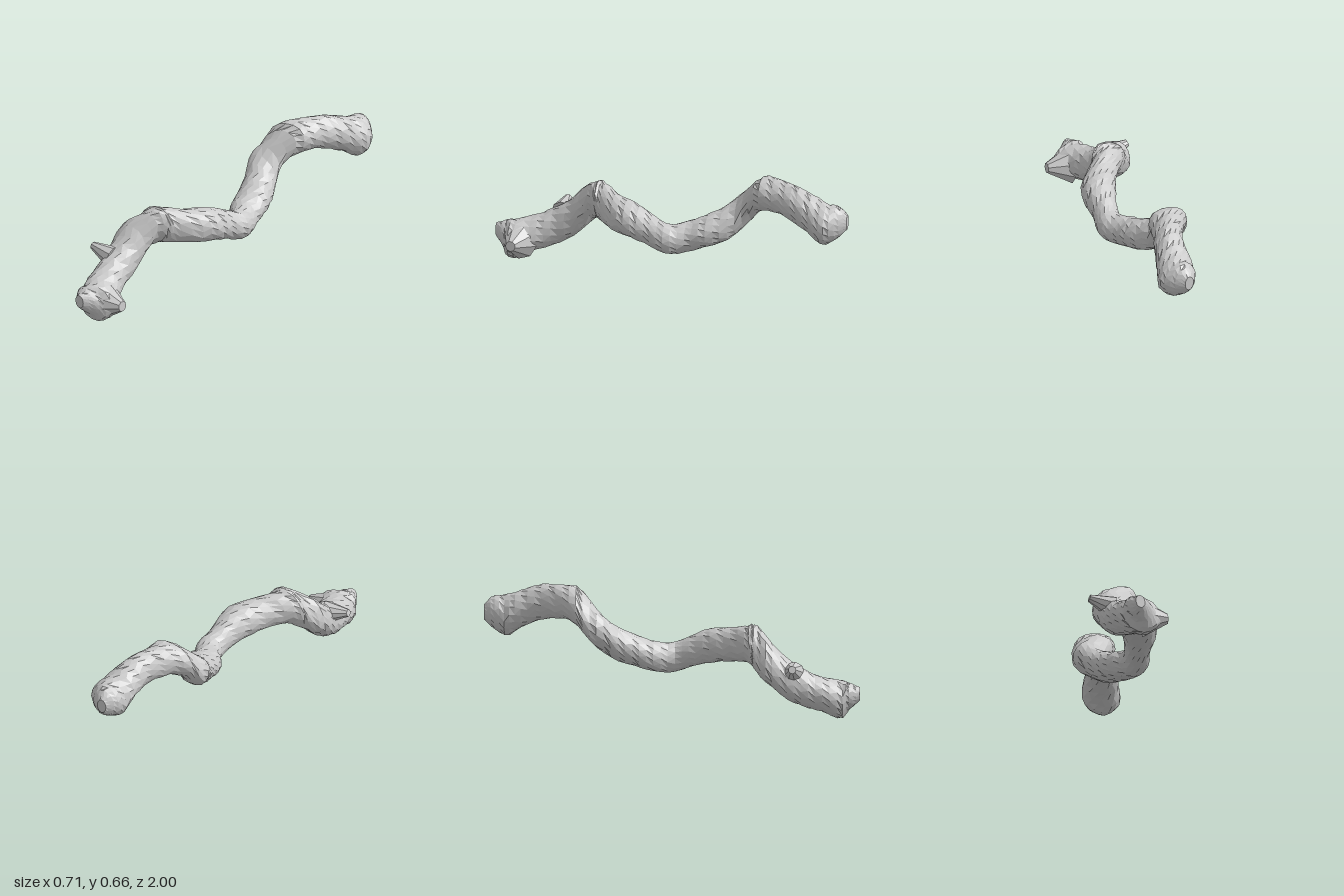
import * as THREE from 'three';

// Slices along the body: z, x min, x max, y min, y max
const SLICES = [
  [1.0, -0.22, -0.17, 0.1, 0.17],
  [0.95, -0.245, -0.11, 0.055, 0.19],
  [0.9, -0.265, -0.045, 0.0, 0.205],
  [0.8, -0.285, -0.085, 0.04, 0.225],
  [0.7, -0.29, -0.115, 0.07, 0.27],
  [0.6, -0.295, -0.11, 0.12, 0.335],
  [0.5, -0.29, -0.075, 0.205, 0.44],
  [0.44, -0.23, -0.02, 0.265, 0.485],
  [0.4, -0.19, 0.015, 0.285, 0.48],
  [0.3, -0.09, 0.13, 0.275, 0.455],
  [0.2, -0.025, 0.17, 0.26, 0.445],
  [0.1, 0.03, 0.175, 0.235, 0.4],
  [0.0, 0.055, 0.2, 0.2, 0.36],
  [-0.1, 0.0, 0.175, 0.21, 0.37],
  [-0.2, -0.02, 0.17, 0.24, 0.41],
  [-0.3, -0.045, 0.14, 0.275, 0.46],
  [-0.4, -0.08, 0.11, 0.35, 0.55],
  [-0.5, -0.045, 0.19, 0.46, 0.655],
  [-0.6, 0.035, 0.22, 0.485, 0.66],
  [-0.7, 0.1, 0.27, 0.465, 0.655],
  [-0.8, 0.125, 0.315, 0.42, 0.62],
  [-0.88, 0.14, 0.35, 0.375, 0.59],
  [-0.95, 0.17, 0.315, 0.41, 0.585],
  [-1.0, 0.21, 0.26, 0.46, 0.54],
];
const SIDES = 16;
const ROWS = 62;

const material = new THREE.MeshStandardMaterial({ color: 0xcccccc, flatShading: true });

function seededRandom(seed) {
  return () => {
    seed = (seed * 16807) % 2147483647;
    return seed / 2147483647;
  };
}

// Lofts slanted elliptical slices into one winding, slightly lumpy body
function bodyGeometry() {
  const random = seededRandom(41);
  const path = new THREE.CatmullRomCurve3(
    SLICES.map(([z, x0, x1, y0, y1]) => new THREE.Vector3((x0 + x1) / 2, (y0 + y1) / 2, z)), false, 'catmullrom');
  const size = new THREE.CatmullRomCurve3(
    SLICES.map(([, x0, x1, y0, y1]) => new THREE.Vector3((x1 - x0) / 2, (y1 - y0) / 2, 0)), false, 'catmullrom');
  const positions = [];
  const index = [];
  for (let i = 0; i <= ROWS; i++) {
    const t = i / ROWS;
    const c = path.getPoint(t);
    const h = size.getPoint(t);
    const d = path.getTangent(t);
    // Tilt of the ellipse where the body climbs sideways
    const lean = (d.x * d.y) / Math.sqrt((d.z * d.z + d.x * d.x) * (d.z * d.z + d.y * d.y));
    const rise = Math.sqrt(1 - lean * lean);
    for (let j = 0; j < SIDES; j++) {
      const a = ((j + (i % 2) / 2) / SIDES) * Math.PI * 2;
      const k = 0.98 + random() * 0.06;
      positions.push(
        c.x + h.x * k * Math.cos(a),
        Math.max(0, c.y + h.y * k * (lean * Math.cos(a) + rise * Math.sin(a))),
        c.z);
      if (i < ROWS) {
        const p = i * SIDES + j;
        const q = i * SIDES + ((j + 1) % SIDES);
        index.push(p, p + SIDES, q, q, p + SIDES, q + SIDES);
      }
    }
  }
  // Blunt end caps
  const front = positions.length / 3;
  const last = ROWS * SIDES;
  for (const t of [0, 1]) positions.push(...path.getPoint(t).toArray());
  for (let j = 0; j < SIDES; j++) {
    const n = (j + 1) % SIDES;
    index.push(front, j, n, front + 1, last + n, last + j);
  }
  const geometry = new THREE.BufferGeometry();
  geometry.setAttribute('position', new THREE.Float32BufferAttribute(positions, 3));
  geometry.setIndex(index);
  geometry.computeVertexNormals();
  return geometry;
}

// Short tapered stub from one point to another
function stub(name, from, to, baseRadius, tipRadius) {
  const a = new THREE.Vector3(...from);
  const b = new THREE.Vector3(...to);
  const axis = b.clone().sub(a);
  const mesh = new THREE.Mesh(new THREE.CylinderGeometry(tipRadius, baseRadius, axis.length(), 9, 2), material);
  mesh.position.copy(a).add(b).multiplyScalar(0.5);
  mesh.quaternion.setFromUnitVectors(new THREE.Vector3(0, 1, 0), axis.normalize());
  mesh.name = name;
  return mesh;
}

export function createModel() {
  const group = new THREE.Group();
  group.name = 'windingBranch';
  const body = new THREE.Mesh(bodyGeometry(), material);
  body.name = 'body';
  group.add(body);
  group.add(stub('frontStub', [-0.13, 0.105, 0.86], [-0.003, 0.115, 0.88], 0.1, 0.028));
  group.add(stub('sideStub', [-0.23, 0.25, 0.65], [-0.358, 0.283, 0.65], 0.06, 0.02));
  return group;
}
